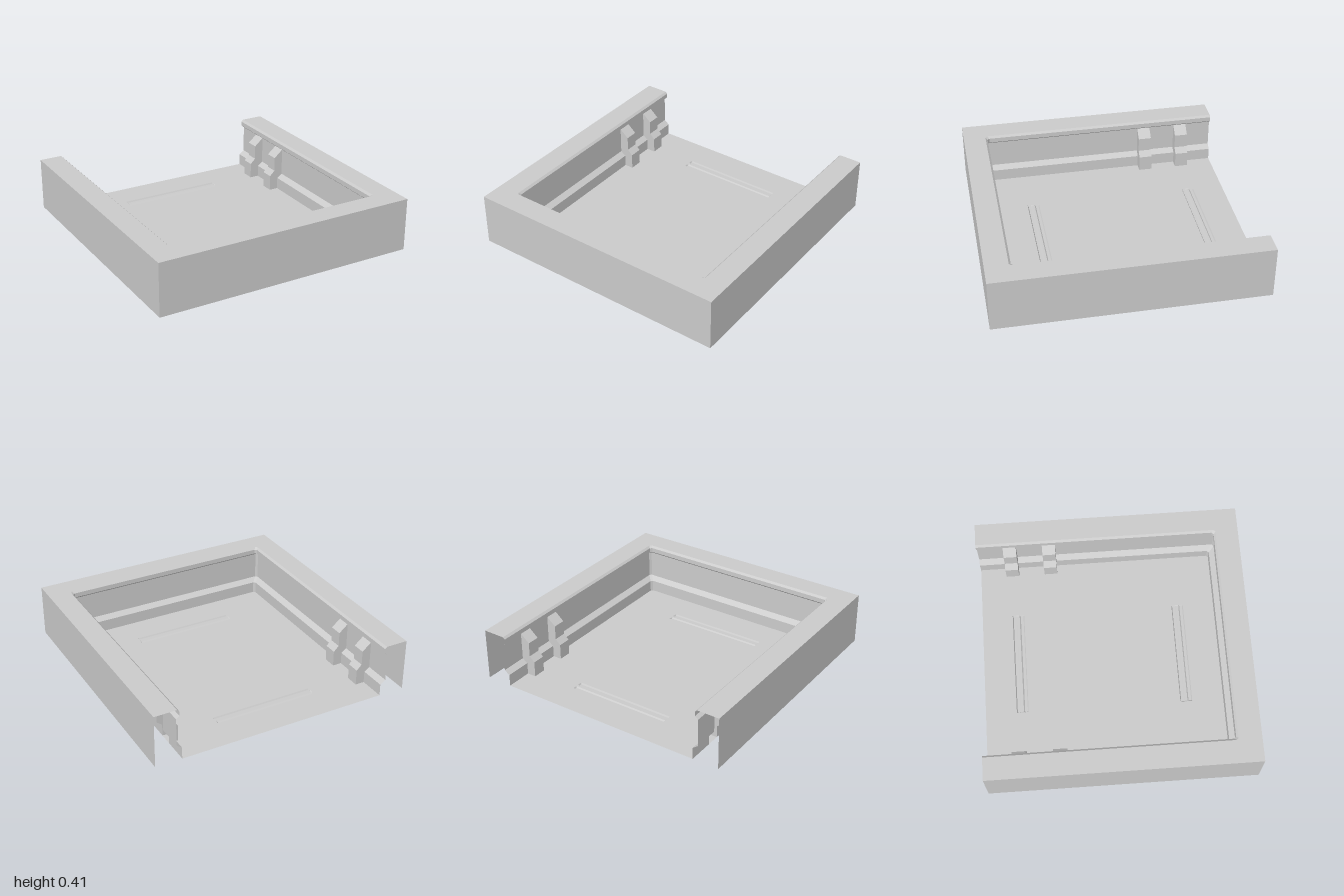
import * as THREE from 'three';

const material = new THREE.MeshStandardMaterial({ color: 0xcccccc, flatShading: true, side: THREE.DoubleSide });
const BASE = 0.01;

// Skin a list of cross-sections that all have the same number of points
function loft(name, sections) {
  const n = sections[0].length;
  const index = [];
  for (let s = 0; s < sections.length - 1; s++) {
    for (let i = 0; i < n - 1; i++) {
      const a = s * n + i, b = a + n;
      index.push(a, a + 1, b, a + 1, b + 1, b);
    }
  }
  const indexed = new THREE.BufferGeometry();
  indexed.setAttribute('position', new THREE.Float32BufferAttribute(sections.flat(2), 3));
  indexed.setIndex(index);
  const geometry = indexed.toNonIndexed();
  geometry.computeVertexNormals();
  const mesh = new THREE.Mesh(geometry, material);
  mesh.name = name;
  return mesh;
}

// Wall profiles as [distance from centre, height], from outer skirt over the rim to the floor
const rim = [[1, BASE], [1, 0.41], [0.83, 0.41], [0.815, 0.395], [0.815, 0.36], [0.84, 0.34]];
const plain = [...rim, [0.84, 0.28], [0.84, 0.13], [0.8, 0.1], [0.8, BASE]];
const clip = [...rim, [0.77, 0.28], [0.77, 0.17], [0.73, 0.13], [0.73, BASE]];

// Corner chamfer: the outer skirt stays square
const chamfer = (d) => (d === 1 ? 0 : 0.015);

function createWalls() {
  const side = (profile, z) => profile.map(([d, y]) => [d, y, z]);
  const half = [side(plain, -1)];
  // Two moulded clips on each side wall
  for (const z of [-0.8, -0.5]) {
    half.push(side(plain, z), side(clip, z), side(clip, z + 0.1), side(plain, z + 0.1));
  }
  // Front corner
  half.push(plain.map(([d, y]) => [d, y, d - chamfer(d)]));
  half.push(plain.map(([d, y]) => [d - chamfer(d), y, d]));
  const mirrored = half.map((s) => s.map(([x, y, z]) => [-x, y, z])).reverse();
  return loft('trayWalls', [...half, ...mirrored]);
}

const GROOVE_X = 0.395;
const GROOVE_HALF = 0.045;
const grooveCentres = [-0.722, 0.519];

function createFloor() {
  const c = 0.015, w = 0.8;
  // Shape y becomes -z once laid flat
  const shape = new THREE.Shape([
    [-w, 1], [-w, -w + c], [-w + c, -w], [w - c, -w], [w, -w + c], [w, 1],
  ].map(([x, y]) => new THREE.Vector2(x, y)));
  for (const z of grooveCentres) {
    const a = -z - GROOVE_HALF, b = -z + GROOVE_HALF;
    shape.holes.push(new THREE.Path([
      [-GROOVE_X, a], [-GROOVE_X, b], [GROOVE_X, b], [GROOVE_X, a],
    ].map(([x, y]) => new THREE.Vector2(x, y))));
  }
  const geometry = new THREE.ShapeGeometry(shape);
  geometry.rotateX(-Math.PI / 2);
  geometry.translate(0, BASE, 0);
  const mesh = new THREE.Mesh(geometry, material);
  mesh.name = 'trayFloor';
  return mesh;
}

// Foot groove pressed down into the floor, with a low ridge along the middle
function createGroove(z) {
  const profile = [[-1, BASE], [-0.85, 0], [-0.4, 0], [-0.2, 0.008], [0.2, 0.008], [0.4, 0], [0.85, 0], [1, BASE]];
  const section = (x, flat) => profile.map(([t, y]) => [x, flat ? BASE : y, z + t * GROOVE_HALF]);
  return loft('footGroove', [
    section(-GROOVE_X, true), section(-GROOVE_X + 0.006, false),
    section(GROOVE_X - 0.006, false), section(GROOVE_X, true),
  ]);
}

export function createModel() {
  const model = new THREE.Group();
  model.name = 'tray';
  model.add(createWalls(), createFloor(), ...grooveCentres.map(createGroove));
  return model;
}
